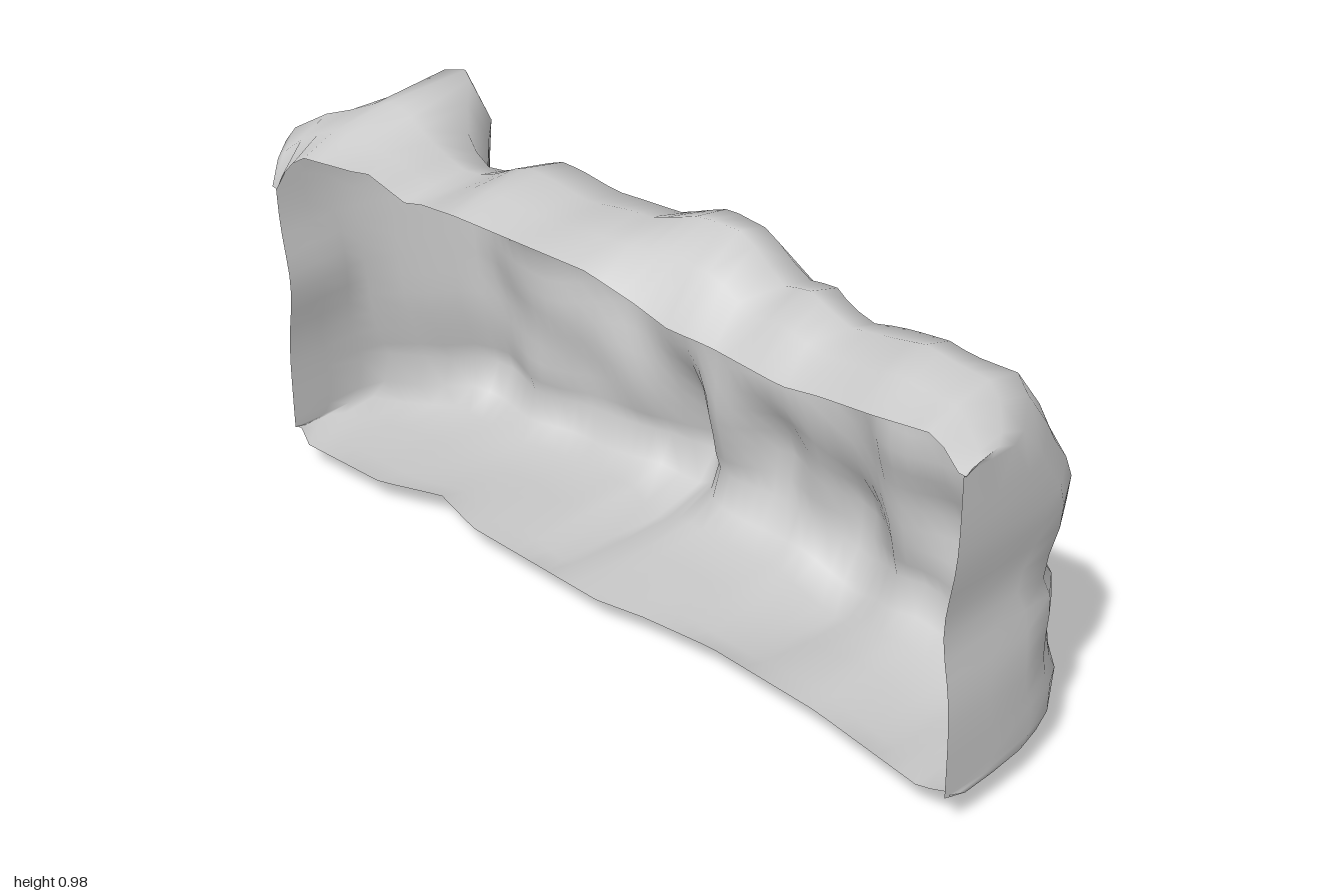
import * as THREE from 'three';

// Piecewise linear lookup in a flat list of x, value pairs
function at(table, x) {
  const n = table.length;
  if (x <= table[0]) return table[1];
  for (let i = 2; i < n; i += 2) {
    if (x <= table[i]) {
      const t = (x - table[i - 2]) / (table[i] - table[i - 2]);
      return THREE.MathUtils.lerp(table[i - 1], table[i + 1], t);
    }
  }
  return table[n - 1];
}

// Outlines of the rock along its length
const crest = [-1, .82, -.97, .88, -.85, .9, -.68, .89, -.58, .83, -.53, .84, -.4, .9, -.2, .9, 0, .93,
  .13, .98, .25, .98, .35, .9, .45, .92, .55, .89, .75, .935, .9, .925, .97, .88, 1, .83];
const base = [-1, .1, -.95, .06, -.8, .03, -.5, .035, -.28, .055, -.2, .01, -.1, .06, .2, .05, .28, .02, .35, .005,
  .45, .04, .55, .055, .75, .03, .9, .055, 1, .1];
const back = [-1, .08, -.97, -.03, -.93, -.11, -.86, -.2, -.78, -.21, -.65, -.18, -.5, -.22, -.3, -.22, -.1, -.2,
  .02, -.19, .1, -.2, .22, -.19, .35, -.2, .42, -.19, .48, -.16, .6, -.17, .8, -.15, .92, -.16, .97, -.11, 1, -.02];
const topRim = [-1, .7, -.95, .77, -.88, .845, -.67, .87, -.58, .81, -.4, .86, 0, .88, .2, .81, .5, .8, .75, .85, .92, .89, 1, .82];
const rimZ = [-1, .29, -.95, .31, -.7, .3, -.55, .24, -.4, .28, 0, .285, .12, .26, .3, .24, .6, .25, .9, .29, 1, .3];
// How far the back wall leans forward at each fraction of the height
const lean = [0, 0, .2, .015, .35, .03, .5, .05, .6, .055, .75, .08, .85, .11, .92, .145];

// Knobs and hollows on the back face: x, y, depth, width, height
const knobs = [
  [-.18, .16, .115, .07, .2], [.33, .2, .06, .09, .12], [.12, .27, .055, .09, .1], [-.78, .84, .1, .08, .12],
  [-.38, .5, .045, .14, .12], [.48, .52, -.03, .12, .12], [.65, .35, .03, .1, .12], [.12, .65, .03, .09, .08],
  [.12, .45, -.02, .09, .06], [-.62, .68, -.04, .1, .12], [-.05, .3, -.02, .06, .15],
  [.9, .48, -.06, .1, .05], [.9, .63, .05, .1, .08], [.96, .28, -.05, .06, .18], [-.9, .38, -.06, .06, .25],
];
const relief = (x, y) => knobs.reduce((sum, [kx, ky, depth, w, h]) =>
  sum + depth * Math.exp(-(((x - kx) / w) ** 2) - ((y - ky) / h) ** 2), 0);

// Block standing up near the left end of the crest
const block = (x, z) => .075 * Math.exp(-(((x + .78) / .085) ** 4) - ((z + .01) / .1) ** 4);

// Gentle lumps over the whole surface
const lumps = (x, y, z) => .008 * Math.sin(19 * x + 6 * y) * Math.sin(17 * y - 5 * x + 9 * z);

// Cross-section at x, from the bottom rim around the back to the top rim
function section(x) {
  const top = at(crest, x), low = at(base, x), b = at(back, x), f = at(rimZ, x), lip = at(topRim, x);
  const mix = (t) => THREE.MathUtils.lerp(f, b, t);
  const pts = [[f - .015, Math.max(.07, low + .01)], [mix(.2), low * .5 + .035], [mix(.5), low * .7 + .018],
    [mix(.8), low], [mix(.94), low + .03], [mix(1), low + .1]];
  for (let k = 0; k < 12; k++) {
    const v = .17 + k * .063;
    pts.push([Math.min(b + at(lean, v), f - .03), low + (top - low) * v]);
  }
  const zTop = Math.min(b + .195, f - .02);
  pts.push([zTop, top - .02], [THREE.MathUtils.lerp(zTop, f, .33), top],
    [THREE.MathUtils.lerp(zTop, f, .7), THREE.MathUtils.lerp(top, lip, .35)], [f, lip]);
  return pts.map(([z, y], j) => {
    if (j === 0 || j === pts.length - 1) return [x, y, z];
    const onBack = j > 3 && j < pts.length - 3;
    const bump = lumps(x, y, z);
    return [x, y + (y > .75 ? block(x, z) : 0) + (onBack ? 0 : bump * .6), z - (onBack ? relief(x, y) + bump : 0)];
  });
}

// End wall: the last section drawn forward to the upright front edge
function endWall(points, side, amount) {
  const f = at(rimZ, side), low = points[0][1], lip = points[points.length - 1][1];
  return points.map(([, y, z]) => {
    const waist = .025 * Math.exp(-(((y - .48) / .12) ** 2));
    const edgeY = THREE.MathUtils.clamp(y, low, lip);
    return [side * (1 - waist - .006 * amount), THREE.MathUtils.lerp(y, edgeY, amount), THREE.MathUtils.lerp(z, f, amount)];
  });
}

export function createModel() {
  const group = new THREE.Group();
  const columns = [];
  const count = 50;
  for (let i = 0; i <= count; i++) columns.push(section(-.98 + 1.96 * i / count));
  const first = columns[0], last = columns[count];
  for (const amount of [.25, .6, 1]) {
    columns.unshift(endWall(first, -1, amount));
    columns.push(endWall(last, 1, amount));
  }

  // Skin the columns into one open shell
  const rows = first.length, index = [];
  for (let i = 0; i < columns.length - 1; i++) {
    for (let j = 0; j < rows - 1; j++) {
      const a = i * rows + j, b = a + rows;
      index.push(a, a + 1, b, b, a + 1, b + 1);
    }
  }
  const geometry = new THREE.BufferGeometry();
  geometry.setAttribute('position', new THREE.Float32BufferAttribute(columns.flat(2), 3));
  geometry.setIndex(index);
  geometry.computeVertexNormals();

  const shell = new THREE.Mesh(geometry, new THREE.MeshStandardMaterial({ color: 0xcccccc, side: THREE.DoubleSide }));
  shell.name = 'rockShell';
  group.add(shell);
  return group;
}
